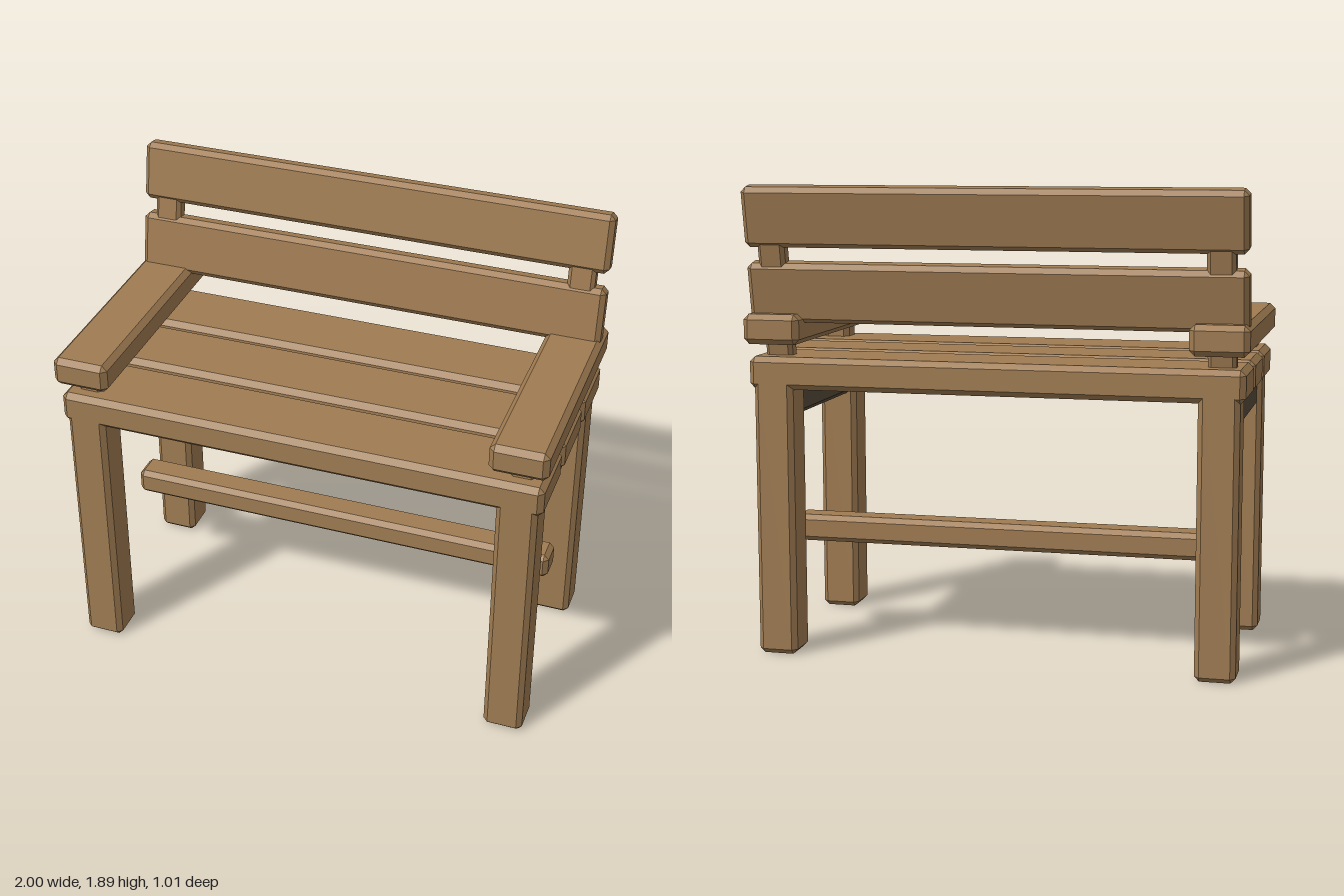
import * as THREE from 'three';
import { ConvexGeometry } from 'three/addons/geometries/ConvexGeometry.js';

// Box with flat chamfers on every edge: each corner becomes three points.
function chamferBox(w, h, d, c) {
  const points = [];
  const [x, y, z] = [w / 2, h / 2, d / 2];
  for (const sx of [-1, 1]) for (const sy of [-1, 1]) for (const sz of [-1, 1]) {
    points.push(
      new THREE.Vector3(sx * x, sy * (y - c), sz * (z - c)),
      new THREE.Vector3(sx * (x - c), sy * y, sz * (z - c)),
      new THREE.Vector3(sx * (x - c), sy * (y - c), sz * z),
    );
  }
  return new ConvexGeometry(points);
}

export function createModel() {
  const wood = new THREE.MeshStandardMaterial({ color: 0xa07c52 });
  wood.name = 'wood';
  const darkWood = new THREE.MeshStandardMaterial({ color: 0x574b39 });
  darkWood.name = 'darkWood';

  const bench = new THREE.Group();
  bench.name = 'bench';

  function beam(name, size, position, parent = bench, material = wood, chamfer = 0.02) {
    const mesh = new THREE.Mesh(chamferBox(...size, chamfer), material);
    mesh.name = name;
    mesh.position.set(...position);
    parent.add(mesh);
    return mesh;
  }

  // Seat planks, front to back
  [0.34, 0.015, -0.31].forEach((z, i) => {
    beam('seatPlank' + (i + 1), [1.97, 0.13, 0.3], [0, 1.145, z], bench, wood, 0.022);
  });

  // Long stretcher under the seat
  beam('stretcher', [1.84, 0.11, 0.13], [0, 0.455, -0.075]);

  // Leaning backrest, pivoting at the gap between its two boards
  const backrest = new THREE.Group();
  backrest.name = 'backrest';
  backrest.position.set(0, 1.615, -0.417);
  backrest.rotation.x = -0.18;
  bench.add(backrest);
  beam('lowerBackBoard', [1.98, 0.24, 0.085], [0, -0.152, 0], backrest);
  beam('upperBackBoard', [1.98, 0.24, 0.085], [0, 0.152, 0], backrest);

  // Parts repeated on both sides
  for (const [side, s] of [['left', 1], ['right', -1]]) {
    const x = s * 0.885;
    beam(side + 'FrontLeg', [0.16, 1.15, 0.16], [x, 0.575, 0.41]);
    beam(side + 'BackLeg', [0.16, 1.15, 0.16], [x, 0.575, -0.38]);
    beam(side + 'SeatRail', [0.12, 0.15, 0.8], [x, 1.035, 0.015], bench, darkWood);
    beam(side + 'ArmPost', [0.11, 0.2, 0.11], [x, 1.23, 0.375]);
    beam(side + 'Armrest', [0.23, 0.12, 0.99], [x, 1.32, 0.015], bench, wood, 0.022);
    beam(side + 'BackUpright', [0.11, 0.7, 0.07], [x, -0.15, 0], backrest, wood, 0.015);
  }

  return bench;
}
